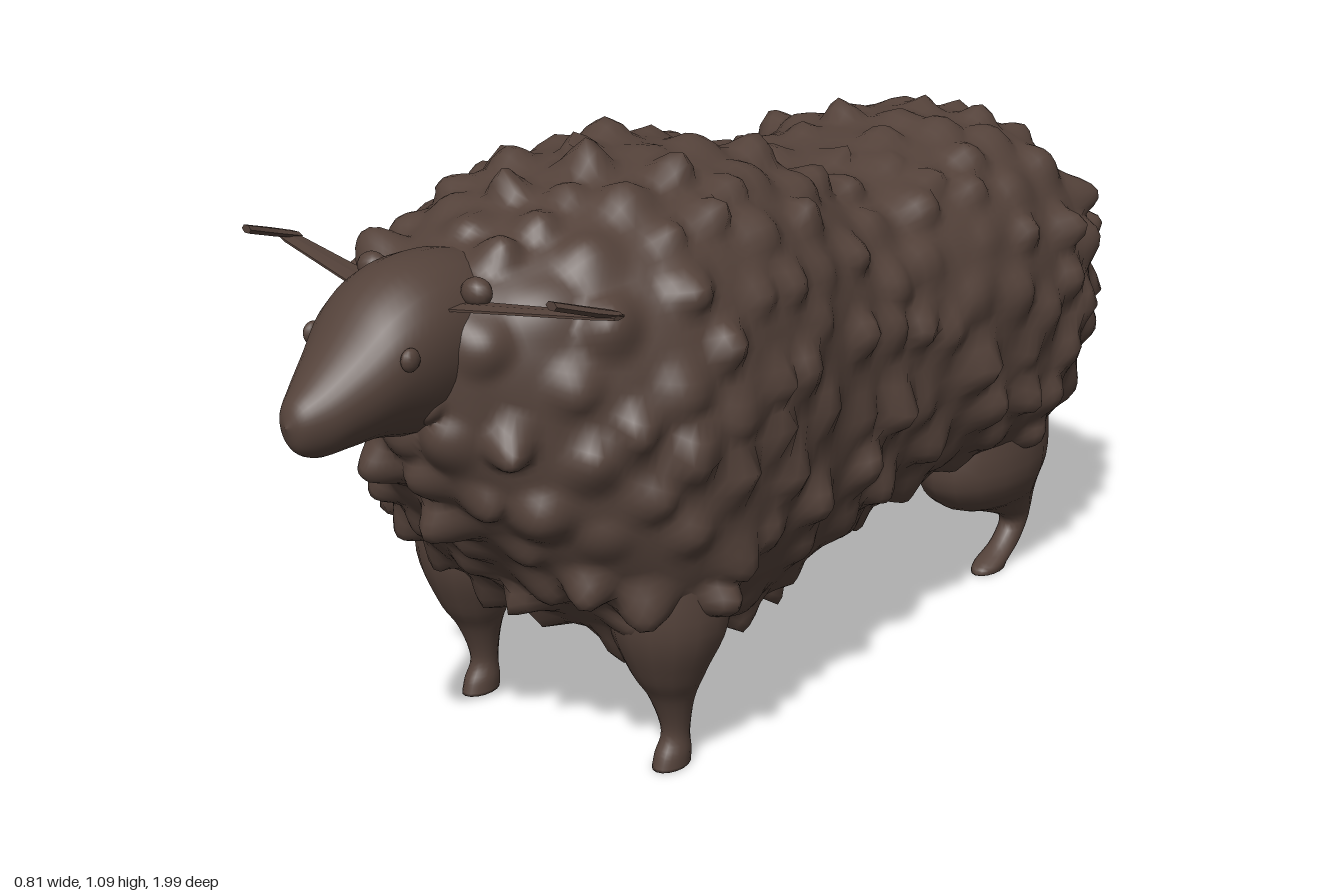
import * as THREE from 'three';

const wool = new THREE.MeshStandardMaterial({ color: 0x54423a });
wool.name = 'dark brown';

// Small seeded random generator
function seeded(seed) {
  return () => {
    seed = (seed * 1664525 + 1013904223) % 4294967296;
    return seed / 4294967296;
  };
}

// Joins closed rings of points into one smooth surface
function skin(rings) {
  const n = rings[0].length, index = [];
  for (let i = 0; i < rings.length - 1; i++) {
    for (let j = 0; j < n; j++) {
      const k = (j + 1) % n;
      const a = i * n + j, b = i * n + k, c = a + n, d = b + n;
      index.push(a, b, c, b, d, c);
    }
  }
  const geo = new THREE.BufferGeometry().setFromPoints(rings.flat());
  geo.setIndex(index);
  geo.computeVertexNormals();
  return geo;
}

// Smoothly interpolates rows of four numbers
function smoothRows(rows, steps) {
  const a = new THREE.CatmullRomCurve3(rows.map(r => new THREE.Vector3(r[0], r[1], r[2])), false, 'catmullrom', 0.5);
  const b = new THREE.CatmullRomCurve3(rows.map(r => new THREE.Vector3(r[3], 0, 0)), false, 'catmullrom', 0.5);
  return Array.from({ length: steps + 1 }, (_, i) => {
    const p = a.getPoint(i / steps);
    return [p.x, p.y, p.z, Math.max(0.0005, b.getPoint(i / steps).x)];
  });
}

// Superellipse ring, with its own roundness above and below
function ring(count, place, upper = 2, lower = 2) {
  return Array.from({ length: count }, (_, j) => {
    const t = j / count * Math.PI * 2;
    const power = Math.sin(t) < 0 ? lower : upper;
    const f = v => Math.sign(v) * Math.abs(v) ** (2 / power);
    return place(f(Math.cos(t)), f(Math.sin(t)));
  });
}

// Loft along z from rows [z, bottom, top, halfWidth]; taper narrows the underside
function loftZ(rows, steps, count, { upper, lower, taper = 0 }) {
  return skin(smoothRows(rows, steps).map(([z, lo, hi, w]) => ring(count, (c, s) =>
    new THREE.Vector3(c * w * (1 + taper * s), (lo + hi) / 2 + s * (hi - lo) / 2, z), upper, lower)));
}

// Leg running downwards from rows [y, z, halfWidth, halfDepth]
function leg(x, rows) {
  const list = smoothRows(rows, 28);
  const end = list[list.length - 1];
  list.push([end[0], end[1], 0, 0]);
  return skin(list.map(([y, z, rx, rz]) =>
    ring(16, (c, s) => new THREE.Vector3(x + c * rx, Math.max(0, y), z + s * rz))));
}

// Raises scattered, slightly leaning tufts of wool
function addTufts(geo, spacing, seed) {
  const rnd = seeded(seed), pos = geo.attributes.position, nor = geo.attributes.normal;
  const p = new THREE.Vector3(), n = new THREE.Vector3(), tufts = [];
  for (let k = 0; k < 9000; k++) {
    const at = new THREE.Vector3().fromBufferAttribute(pos, Math.floor(rnd() * pos.count));
    if (tufts.some(t => t.at.distanceToSquared(at) < spacing * spacing)) continue;
    tufts.push({
      at, height: 0.015 + rnd() * 0.03, radius: 0.045 + rnd() * 0.025,
      lean: new THREE.Vector3(rnd() - 0.5, rnd() - 0.6, rnd() - 0.6),
    });
  }
  for (let i = 0; i < pos.count; i++) {
    p.fromBufferAttribute(pos, i);
    n.fromBufferAttribute(nor, i);
    let best = 0, tuft = null;
    for (const t of tufts) {
      const q = 1 - t.at.distanceToSquared(p) / (t.radius * t.radius);
      if (q > 0 && q * q * t.height > best) { best = q * q * t.height; tuft = t; }
    }
    if (tuft) p.addScaledVector(n, best).addScaledVector(tuft.lean, best);
    pos.setXYZ(i, p.x, p.y, p.z);
  }
  geo.computeVertexNormals();
  return geo;
}

export function createModel() {
  const model = new THREE.Group();
  model.name = 'woollyAnimal';
  const add = (parent, name, geo) => {
    const mesh = new THREE.Mesh(geo, wool);
    mesh.name = name;
    parent.add(mesh);
    return mesh;
  };

  // Fleece-covered body
  const body = loftZ([
    [-0.95, 0.66, 0.66, 0], [-0.935, 0.5, 0.8, 0.17], [-0.895, 0.385, 0.87, 0.285],
    [-0.8, 0.27, 0.935, 0.35], [-0.65, 0.22, 0.955, 0.372], [-0.45, 0.27, 0.945, 0.367],
    [-0.2, 0.265, 0.93, 0.343], [0, 0.21, 1.015, 0.35], [0.2, 0.195, 1.05, 0.37],
    [0.4, 0.23, 1.03, 0.368], [0.53, 0.335, 0.995, 0.315], [0.62, 0.44, 0.965, 0.245],
    [0.7, 0.54, 0.94, 0.17], [0.755, 0.64, 0.91, 0.11], [0.78, 0.78, 0.78, 0],
  ], 130, 120, { upper: 2.4, lower: 2.8 });
  add(model, 'fleeceBody', addTufts(body, 0.088, 7));

  // Smooth tapered head
  add(model, 'head', loftZ([
    [0.58, 0.7, 0.95, 0.1], [0.68, 0.68, 0.97, 0.12], [0.77, 0.685, 0.965, 0.12],
    [0.84, 0.7, 0.93, 0.106], [0.9, 0.7, 0.87, 0.08], [0.95, 0.7, 0.825, 0.055],
    [0.985, 0.72, 0.795, 0.03], [1.0, 0.761, 0.761, 0],
  ], 32, 28, { upper: 2, lower: 2, taper: 0.14 }));

  // Parts of one side, mirrored for the other
  for (const side of [1, -1]) {
    const half = new THREE.Group();
    half.name = side > 0 ? 'leftSide' : 'rightSide';
    half.scale.x = side;
    model.add(half);

    add(half, 'frontLeg', leg(0.23, [
      [0.45, 0.37, 0.09, 0.11], [0.3, 0.375, 0.105, 0.11], [0.2, 0.38, 0.07, 0.07],
      [0.14, 0.37, 0.042, 0.042], [0.07, 0.36, 0.025, 0.027], [0.03, 0.367, 0.028, 0.038],
      [0.005, 0.372, 0.028, 0.042],
    ]));
    add(half, 'hindLeg', leg(0.22, [
      [0.45, -0.66, 0.09, 0.17], [0.28, -0.645, 0.11, 0.185], [0.2, -0.665, 0.085, 0.15],
      [0.155, -0.73, 0.05, 0.1], [0.1, -0.785, 0.03, 0.038], [0.05, -0.755, 0.027, 0.04],
      [0.02, -0.7, 0.03, 0.05], [0.005, -0.69, 0.028, 0.05],
    ]));

    const eye = add(half, 'eye', new THREE.SphereGeometry(1, 14, 10));
    eye.scale.set(0.012, 0.019, 0.018);
    eye.position.set(0.108, 0.85, 0.84);

    const ear = add(half, 'ear', new THREE.SphereGeometry(1, 14, 10));
    ear.scale.set(0.028, 0.024, 0.022);
    ear.position.set(0.115, 0.925, 0.7);

    // Flat horn arm with a forward hook
    const arm = [[0.05, 0.903, 0.74, 0.004, 0.034], [0.34, 0.923, 0.668, 0.004, 0.02],
      [0.37, 0.925, 0.66, 0.004, 0.014], [0.37, 0.925, 0.66, 0, 0]];
    const hook = [[0.353, 0.925, 0.65, 0, 0], [0.353, 0.925, 0.65, 0.019, 0.006],
      [0.35, 0.94, 0.7, 0.016, 0.008], [0.334, 0.963, 0.77, 0.011, 0.008], [0.334, 0.963, 0.77, 0, 0]];
    const flat = geo => { const g = geo.toNonIndexed(); g.computeVertexNormals(); return g; };
    add(half, 'hornArm', flat(skin(arm.map(([x, y, z, a, b]) =>
      ring(6, (c, s) => new THREE.Vector3(x, y + c * a, z + s * b))))));
    add(half, 'hornHook', flat(skin(hook.map(([x, y, z, a, b]) =>
      ring(6, (c, s) => new THREE.Vector3(x + c * a, y + s * b, z))))));
  }
  return model;
}
